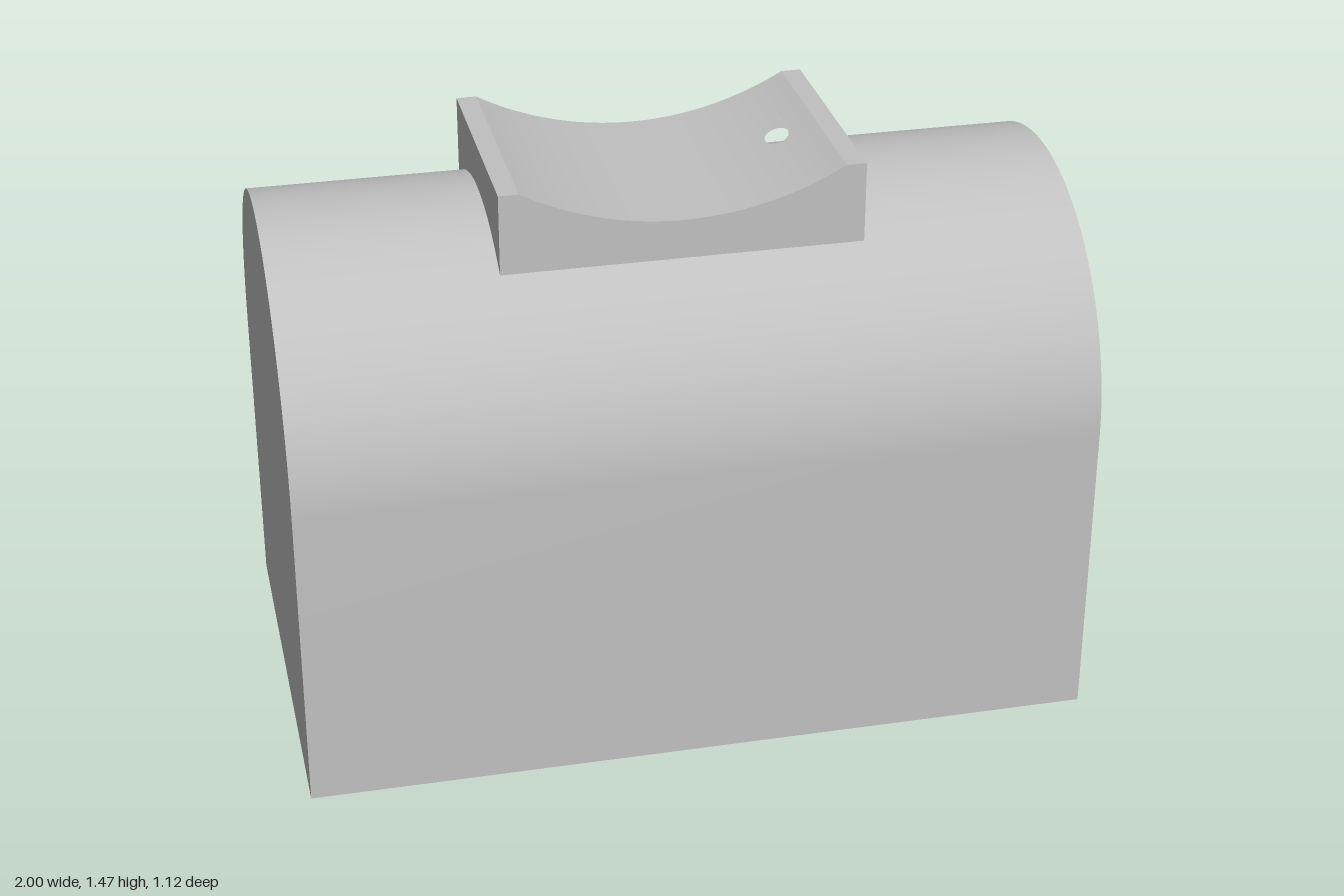
import * as THREE from 'three';
import { toCreasedNormals } from 'three/addons/utils/BufferGeometryUtils.js';

const R = 0.5625, SPRING = 0.79;                // body arch radius and centre height
const HALF_X = 0.45, HALF_Z = 0.31;             // saddle half sizes
const TOP = 1.465, DIP = 1.36, LIP = 0.4;       // saddle lip height, lowest point, lip start
const SEAT_R = (LIP ** 2 + (TOP - DIP) ** 2) / (2 * (TOP - DIP));
const HOLE = { x: 0.307, rx: 0.029, rz: 0.04, floorRz: 0.032, floorY: 1.345 };

// Height of the saddle's upper surface
const seatY = (x) => Math.abs(x) >= LIP ? TOP : DIP + SEAT_R - Math.sqrt(SEAT_R ** 2 - x * x);

// Half width of the hole at x
const holeHalf = (x, rz) => rz * Math.sqrt(Math.max(0, 1 - ((x - HOLE.x) / HOLE.rx) ** 2));

function buildBody(material) {
  const shape = new THREE.Shape();
  shape.moveTo(-R, 0);
  shape.lineTo(R, 0);
  shape.lineTo(R, SPRING);
  shape.absarc(0, SPRING, R, 0, Math.PI, false);
  shape.lineTo(-R, 0);
  const geo = new THREE.ExtrudeGeometry(shape, { depth: 2, bevelEnabled: false, curveSegments: 64 });
  geo.translate(0, 0, -1).rotateY(Math.PI / 2);
  const mesh = new THREE.Mesh(toCreasedNormals(geo, 0.4), material);
  mesh.name = 'archedBody';
  return mesh;
}

function buildSaddle(material) {
  const pos = [];
  const quad = (a, b, c, d) => pos.push(...a, ...b, ...c, ...a, ...c, ...d);
  const base = SPRING + Math.sqrt(R * R - HALF_Z * HALF_Z);

  // Columns across x: lips, curved seat, and extra cuts around the hole
  const xs = [-HALF_X, HALF_X];
  for (let i = 0; i <= 40; i++) {
    const x = -LIP + (2 * LIP * i) / 40;
    if (Math.abs(x - HOLE.x) > HOLE.rx + 0.002) xs.push(x);
  }
  for (let i = 0; i <= 16; i++) xs.push(HOLE.x - HOLE.rx * Math.cos((Math.PI * i) / 16));
  xs.sort((a, b) => a - b);

  for (let i = 0; i < xs.length - 1; i++) {
    const a = xs[i], b = xs[i + 1], ya = seatY(a), yb = seatY(b);
    const strip = (a0, b0, a1, b1) =>
      quad([a, ya, a1], [b, yb, b1], [b, yb, b0], [a, ya, a0]);
    if (Math.abs((a + b) / 2 - HOLE.x) < HOLE.rx) {
      // Seat on both sides of the hole, and the hole's tapered wall
      const ha = holeHalf(a, HOLE.rz), hb = holeHalf(b, HOLE.rz);
      const fa = holeHalf(a, HOLE.floorRz), fb = holeHalf(b, HOLE.floorRz);
      strip(ha, hb, HALF_Z, HALF_Z);
      strip(-HALF_Z, -HALF_Z, -ha, -hb);
      quad([a, ya, ha], [a, HOLE.floorY, fa], [b, HOLE.floorY, fb], [b, yb, hb]);
      quad([b, yb, -hb], [b, HOLE.floorY, -fb], [a, HOLE.floorY, -fa], [a, ya, -ha]);
    } else {
      strip(-HALF_Z, -HALF_Z, HALF_Z, HALF_Z);
    }
    // Front and back walls
    quad([a, base, HALF_Z], [b, base, HALF_Z], [b, yb, HALF_Z], [a, ya, HALF_Z]);
    quad([b, base, -HALF_Z], [a, base, -HALF_Z], [a, ya, -HALF_Z], [b, yb, -HALF_Z]);
  }
  // End walls
  for (const s of [1, -1]) {
    const x = s * HALF_X, z = s * HALF_Z;
    quad([x, base, z], [x, base, -z], [x, TOP, -z], [x, TOP, z]);
  }

  const geo = new THREE.BufferGeometry();
  geo.setAttribute('position', new THREE.Float32BufferAttribute(pos, 3));
  const mesh = new THREE.Mesh(toCreasedNormals(geo, 0.42), material);
  mesh.name = 'saddle';
  return mesh;
}

export function createModel() {
  const grey = new THREE.MeshStandardMaterial({ color: 0xc0c0c0 });
  grey.name = 'light grey';
  const group = new THREE.Group();
  group.name = 'archedBlockWithSaddle';
  group.add(buildBody(grey), buildSaddle(grey));
  return group;
}
